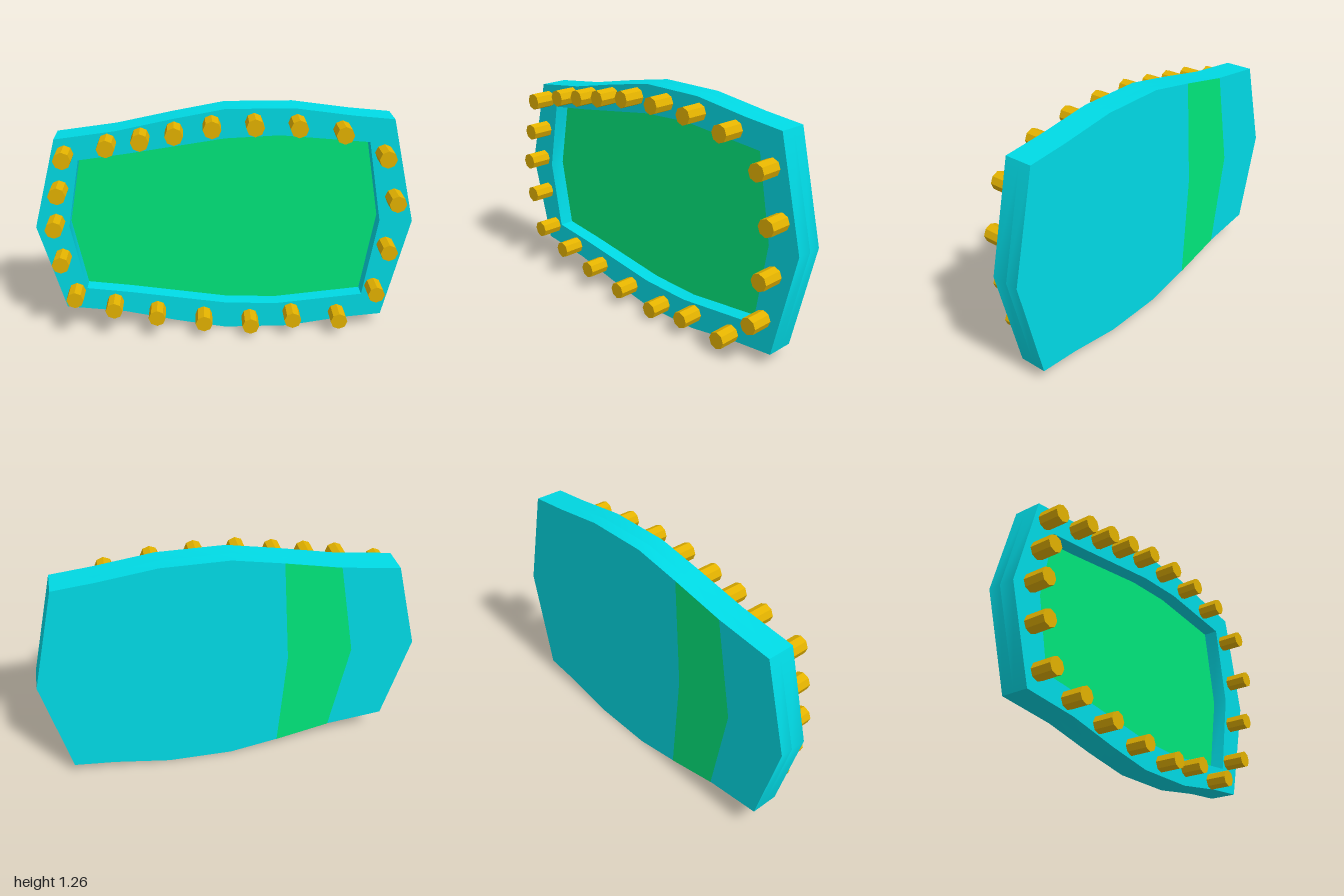
import * as THREE from 'three';
import { toCreasedNormals } from 'three/addons/utils/BufferGeometryUtils.js';

const BACK = -0.1325, FLOOR = -0.065, FRONT = 0.0175, PEG_END = 0.1325;

// Clockwise outline of the panel
const OUTLINE = [
  [-1, 0.63], [-0.87, 1.113], [-0.56, 1.153], [-0.265, 1.214], [0, 1.263], [0.35, 1.263],
  [0.65, 1.222], [0.865, 1.2], [1, 0.635], [0.87, 0.069], [0.65, 0.048], [0.35, 0.001],
  [0, 0], [-0.265, 0.048], [-0.56, 0.113], [-0.87, 0.148],
];
// Counter-clockwise opening in the rim
const OPENING = [
  [-0.755, 0.26], [-0.51, 0.23], [0, 0.155], [0.28, 0.145], [0.755, 0.195], [0.825, 0.64],
  [0.745, 1.08], [0.28, 1.122], [0, 1.109], [-0.51, 1.032], [-0.755, 1.0], [-0.825, 0.63],
];
// Band as seen from behind, so x is mirrored
const BAND = [
  [0.265, 1.214], [0.305, 0.63], [0.265, 0.048], [0.56, 0.113], [0.655, 0.63], [0.56, 1.153],
];
const PEGS = [
  [-0.82, 1.036], [-0.6, 1.096], [-0.43, 1.127], [-0.26, 1.156], [-0.07, 1.188], [0.145, 1.196],
  [0.365, 1.188], [0.595, 1.152], [0.82, 1.022], [0.89, 0.777], [0.865, 0.498], [0.815, 0.248],
  [0.62, 0.087], [0.365, 0.098], [0.135, 0.066], [-0.12, 0.087], [-0.375, 0.127], [-0.605, 0.177],
  [-0.81, 0.247], [-0.87, 0.457], [-0.89, 0.66], [-0.86, 0.847],
];

const toPoints = (list) => list.map(([x, y]) => new THREE.Vector2(x, y));

function namedMesh(name, geometry, material) {
  const mesh = new THREE.Mesh(geometry, material);
  mesh.name = name;
  return mesh;
}

// Extrude the outline between two z positions; gentle side bends stay smooth
function slab(name, z0, z1, material, holes = []) {
  const shape = new THREE.Shape(toPoints(OUTLINE));
  shape.holes = holes.map((hole) => new THREE.Path(toPoints(hole)));
  const geometry = new THREE.ExtrudeGeometry(shape, { depth: z1 - z0, bevelEnabled: false });
  geometry.translate(0, 0, z0);
  return namedMesh(name, toCreasedNormals(geometry, 0.7), material);
}

// Flat painted face
function face(name, points, z, material) {
  const mesh = namedMesh(name, new THREE.ShapeGeometry(new THREE.Shape(toPoints(points))), material);
  mesh.position.z = z;
  return mesh;
}

export function createModel() {
  const cyan = new THREE.MeshStandardMaterial({ color: 0x00dae5 });
  cyan.name = 'cyan';
  const green = new THREE.MeshStandardMaterial({ color: 0x00e67b });
  green.name = 'green';
  const gold = new THREE.MeshStandardMaterial({ color: 0xe3b200 });
  gold.name = 'gold';

  const model = new THREE.Group();
  model.name = 'peggedPanel';

  // Solid backing, raised rim, recessed floor and the band across the back
  const band = face('backBand', BAND, BACK - 0.001, green);
  band.rotation.y = Math.PI;
  model.add(
    slab('backing', BACK, FLOOR, cyan),
    slab('rim', FLOOR, FRONT, cyan, [OPENING]),
    face('recessFloor', OPENING, FLOOR + 0.001, green),
    band,
  );

  // Eight-sided pegs around the rim
  const pegs = new THREE.Group();
  pegs.name = 'pegs';
  const pegGeometry = toCreasedNormals(
    new THREE.CylinderGeometry(0.046, 0.046, PEG_END - FRONT, 8).rotateX(Math.PI / 2), 0.5);
  for (const [x, y] of PEGS) {
    const peg = namedMesh('peg', pegGeometry, gold);
    peg.position.set(x, y, (FRONT + PEG_END) / 2);
    pegs.add(peg);
  }
  model.add(pegs);
  return model;
}
